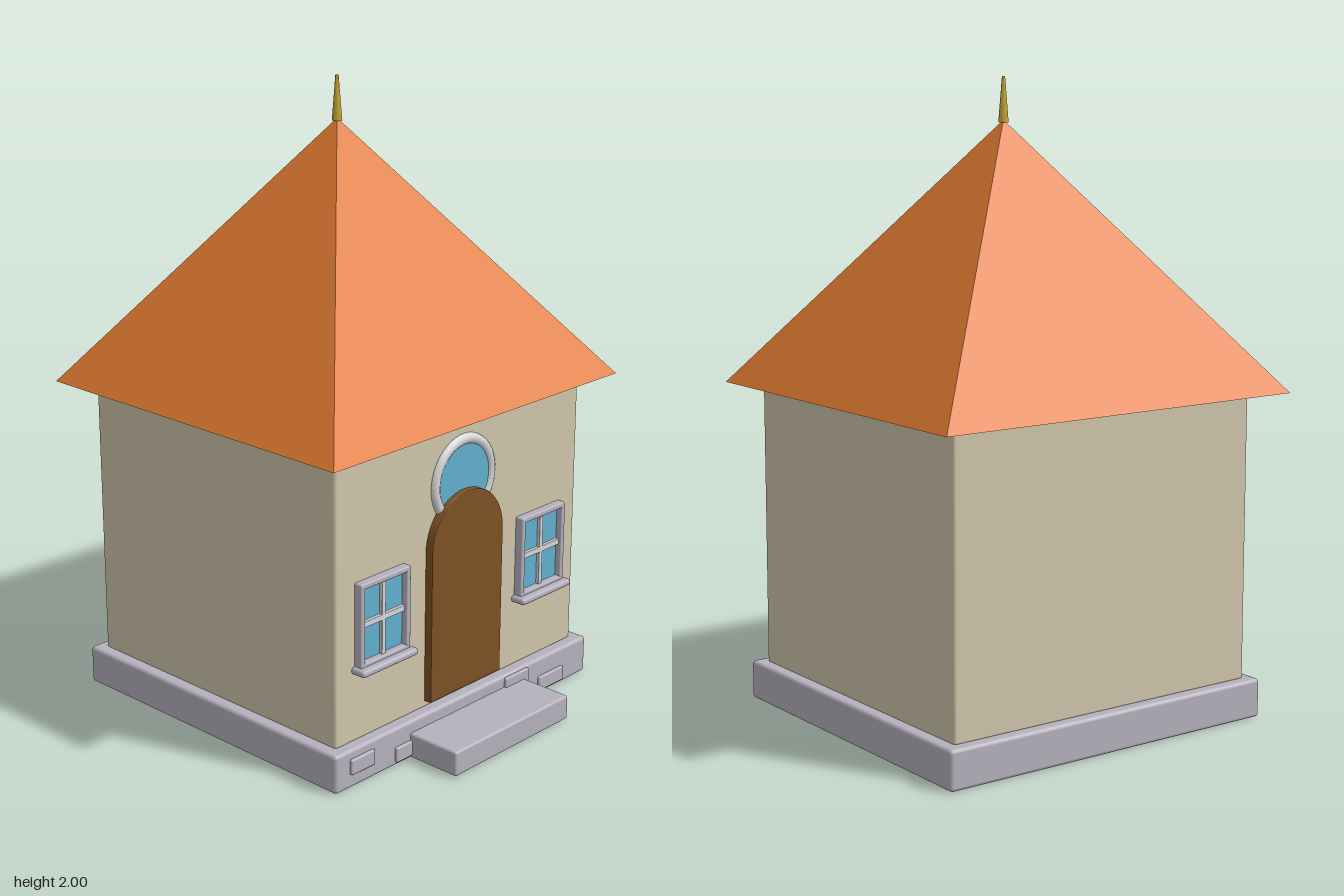
import * as THREE from 'three';
import { RoundedBoxGeometry } from 'three/addons/geometries/RoundedBoxGeometry.js';

const mat = (name, color) => {
  const m = new THREE.MeshStandardMaterial({ color });
  m.name = name;
  return m;
};

export function createModel() {
  const stone = mat('stone', 0xb5b1bd);
  const plaster = mat('plaster', 0xd0c6ab);
  const tile = mat('roof tile', 0xe07a31);
  const wood = mat('door wood', 0x7d5124);
  const glass = mat('glass', 0x62b0cf);
  const trim = mat('light trim', 0xd6d6d8);
  const gold = mat('gold', 0xc4a233);

  const model = new THREE.Group();
  model.name = 'cottage';

  const add = (parent, name, geometry, material) => {
    const mesh = new THREE.Mesh(geometry, material);
    mesh.name = name;
    parent.add(mesh);
    return mesh;
  };

  // Rounded block given by its lower and upper limits on each axis
  const block = (parent, name, material, [x0, x1], [y0, y1], [z0, z1], r = 0.008) => {
    const g = new RoundedBoxGeometry(x1 - x0, y1 - y0, z1 - z0, 2, r);
    g.translate((x0 + x1) / 2, (y0 + y1) / 2, (z0 + z1) / 2);
    return add(parent, name, g, material);
  };

  // Foundation, step and walls
  block(model, 'foundation', stone, [-0.595, 0.595], [0, 0.125], [-0.63, 0.495], 0.012);
  block(model, 'doorStep', stone, [-0.27, 0.27], [0.004, 0.085], [0.49, 0.68]);
  block(model, 'walls', plaster, [-0.557, 0.557], [0.12, 1.04], [-0.593, 0.457], 0.01);

  // Raised stones on the front of the foundation
  const stones = [
    [-0.535, -0.432, 0.045, 0.096],
    [-0.338, -0.24, 0.012, 0.062],
    [0.175, 0.29, 0.062, 0.116],
    [0.345, 0.47, 0.012, 0.062],
  ];
  for (const [x0, x1, y0, y1] of stones) {
    block(model, 'facingStone', stone, [x0, x1], [y0, y1], [0.48, 0.504], 0.006);
  }

  // Four-sided roof with closed underside
  const roofHeight = 0.83;
  let roofGeo = new THREE.ConeGeometry(Math.SQRT2, roofHeight, 4);
  roofGeo.rotateY(Math.PI / 4);
  roofGeo.scale(0.645, 1, 0.612);
  roofGeo.translate(0, 1.038 + roofHeight / 2, -0.073);
  roofGeo = roofGeo.toNonIndexed();
  roofGeo.computeVertexNormals();
  add(model, 'roof', roofGeo, tile);

  // Finial
  const finial = add(model, 'finial', new THREE.CylinderGeometry(0.005, 0.016, 0.14, 8), gold);
  finial.position.set(0, 1.93, -0.073);

  // Arched door
  const arch = new THREE.Shape();
  arch.moveTo(-0.16, 0.15);
  arch.lineTo(0.16, 0.15);
  arch.lineTo(0.16, 0.635);
  arch.absarc(0, 0.635, 0.16, 0, Math.PI, false);
  arch.closePath();
  const doorGeo = new THREE.ExtrudeGeometry(arch, {
    depth: 0.03, bevelEnabled: true, bevelSize: 0.005, bevelThickness: 0.004,
    bevelSegments: 2, curveSegments: 24,
  });
  doorGeo.translate(0, 0, 0.45);
  add(model, 'door', doorGeo, wood);

  // Round window above the door
  const round = new THREE.Group();
  round.name = 'roundWindow';
  round.position.set(0, 0.83, 0.457);
  model.add(round);
  const ring = add(round, 'roundFrame', new THREE.TorusGeometry(0.128, 0.018, 10, 48), trim);
  ring.position.z = -0.002;
  const pane = add(round, 'roundPane', new THREE.CylinderGeometry(0.122, 0.122, 0.008, 48), glass);
  pane.rotation.x = Math.PI / 2;
  pane.position.z = 0.003;

  // Square windows either side of the door
  for (const side of [-1, 1]) {
    const win = new THREE.Group();
    win.name = side > 0 ? 'leftWindow' : 'rightWindow';
    win.position.set(side * 0.368, 0, 0);
    model.add(win);
    const y0 = 0.36, y1 = 0.632, w = 0.108, bar = 0.018;
    const z = [0.45, 0.485];
    block(win, 'frameJamb', stone, [-w, bar - w], [y0, y1], z, 0.005);
    block(win, 'frameJamb', stone, [w - bar, w], [y0, y1], z, 0.005);
    block(win, 'frameHead', stone, [-w, w], [y1 - bar, y1], z, 0.005);
    block(win, 'frameFoot', stone, [-w, w], [y0, y0 + bar], z, 0.005);
    block(win, 'pane', glass, [-0.1, 0.1], [y0 + 0.005, y1 - 0.005], [0.455, 0.464], 0.001);
    block(win, 'uprightBar', trim, [-0.008, 0.008], [y0 + 0.01, y1 - 0.01], [0.46, 0.475], 0.002);
    block(win, 'crossBar', trim, [-0.1, 0.1], [0.487, 0.506], [0.46, 0.475], 0.002);
    block(win, 'sill', stone, [-0.121, 0.121], [0.344, 0.367], [0.45, 0.508], 0.01);
  }

  return model;
}
